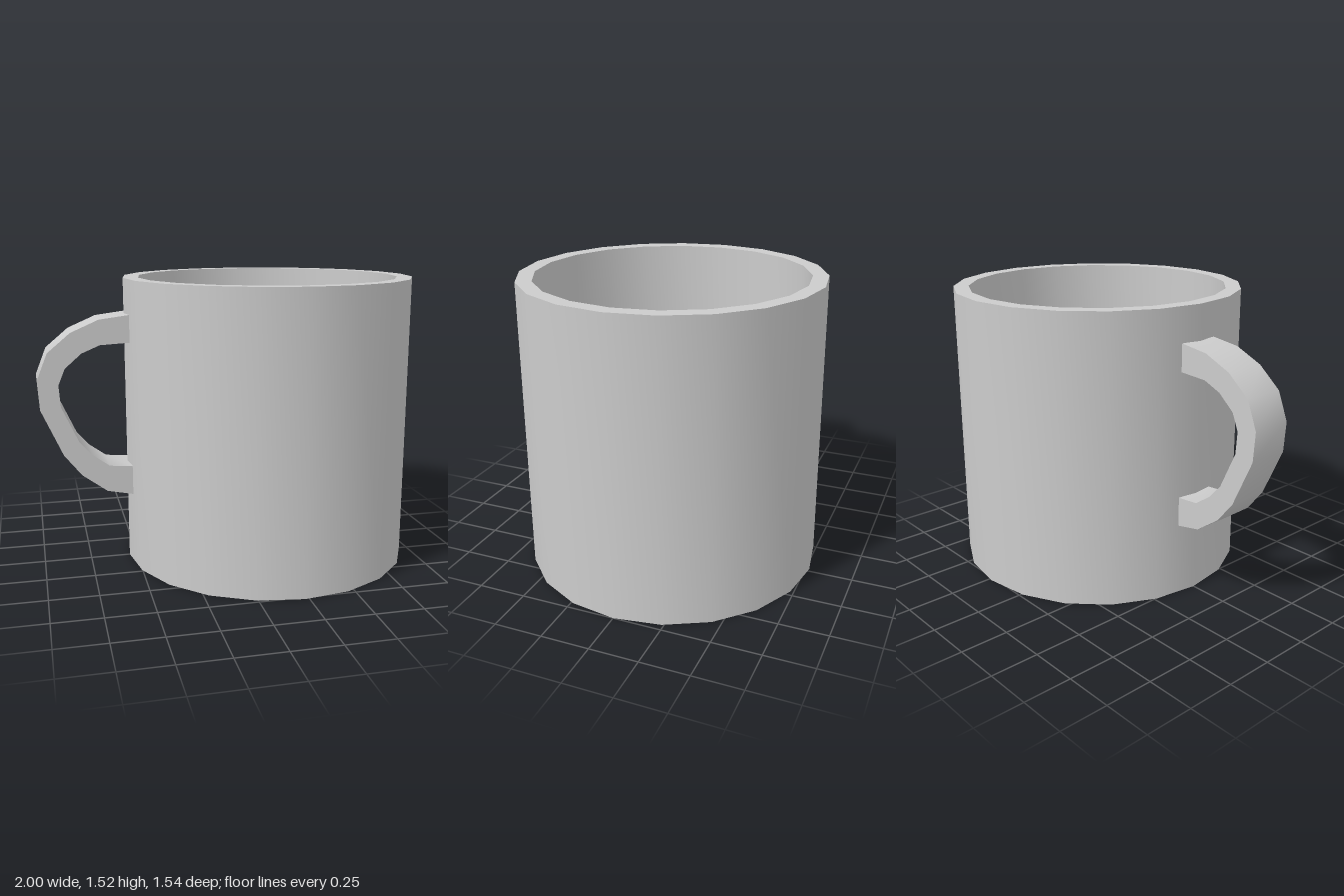
import * as THREE from 'three';
import { toCreasedNormals } from 'three/addons/utils/BufferGeometryUtils.js';

const CREASE = THREE.MathUtils.degToRad(42);
const points = (list) => list.map(([x, y]) => new THREE.Vector2(x, y));

export function createModel() {
  const group = new THREE.Group();
  const material = new THREE.MeshStandardMaterial({ color: 0xcccccc });

  const add = (name, geometry) => {
    const mesh = new THREE.Mesh(toCreasedNormals(geometry, CREASE), material);
    mesh.name = name;
    group.add(mesh);
    return mesh;
  };

  // Hollow 20-sided cup: base, outer wall, rim, inner wall, inner floor
  const cup = add('cup', new THREE.LatheGeometry(points([
    [0, 0], [0.77, 0], [0.77, 1.52], [0.69, 1.52], [0.69, 0.08], [0, 0.08],
  ]), 20));
  cup.position.x = 0.23;

  // Handle: flat band following a drooping curve, outer edge then inner edge
  const outer = [
    [-0.525, 1.34], [-0.68, 1.32], [-0.825, 1.257], [-0.944, 1.157], [-1, 1.017],
    [-0.99, 0.865], [-0.88, 0.62], [-0.79, 0.507], [-0.66, 0.412], [-0.525, 0.385],
  ];
  const inner = [
    [-0.525, 1.198], [-0.677, 1.19], [-0.772, 1.15], [-0.858, 1.075], [-0.893, 0.99],
    [-0.885, 0.877], [-0.8, 0.69], [-0.735, 0.615], [-0.645, 0.55], [-0.525, 0.54],
  ];
  const band = new THREE.Shape(points([...outer, ...inner.reverse()]));
  const handle = add('handle', new THREE.ExtrudeGeometry(band, { depth: 0.22, bevelEnabled: false }));
  handle.position.z = -0.11;

  return group;
}
